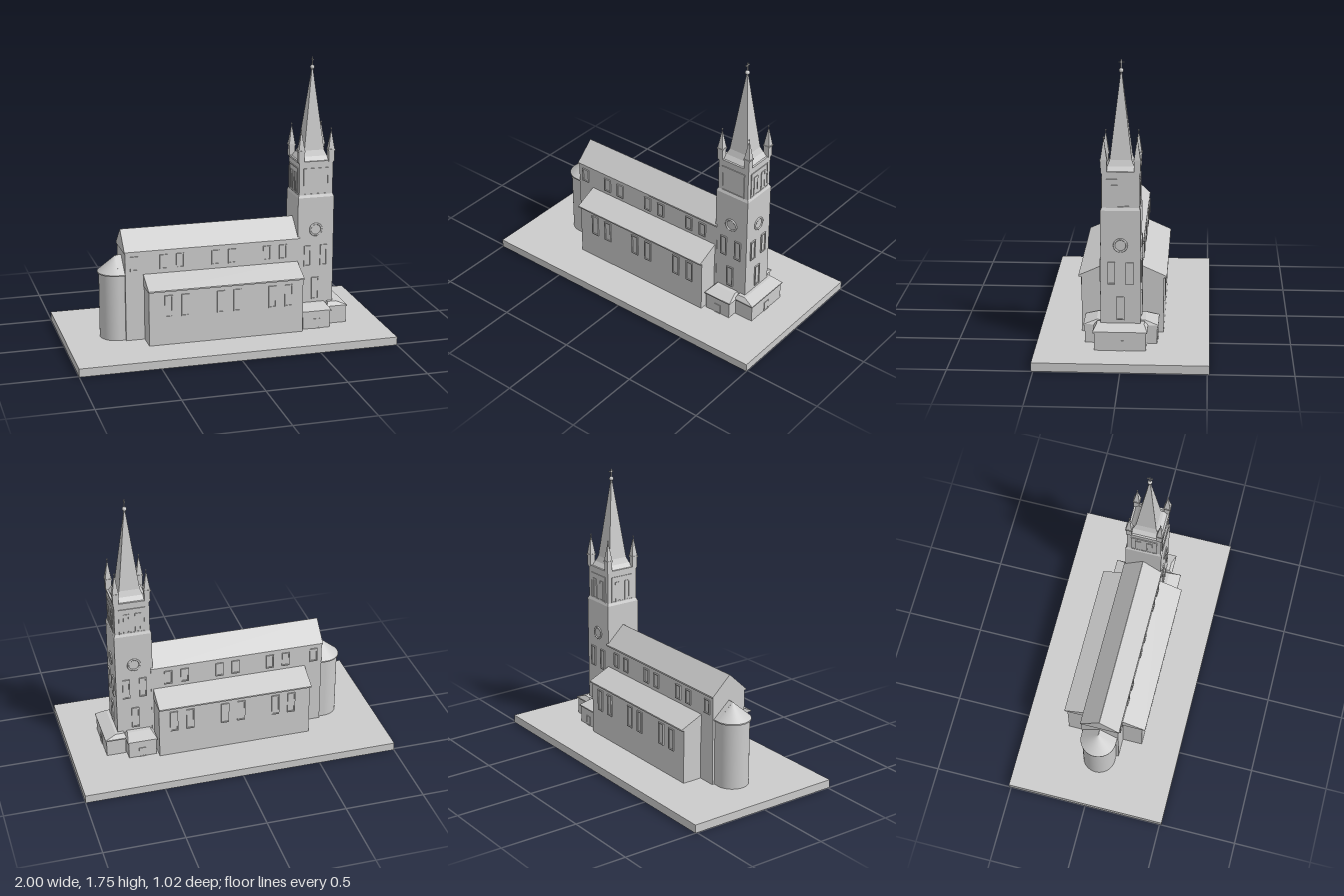
import * as THREE from 'three';

const grey = new THREE.MeshStandardMaterial({ color: 0xcccccc, side: THREE.DoubleSide });

function add(parent, name, geometry, x = 0, y = 0, z = 0) {
  const mesh = new THREE.Mesh(geometry, grey);
  mesh.name = name;
  mesh.position.set(x, y, z);
  parent.add(mesh);
  return mesh;
}

// Box given by its limits
function block(parent, name, x0, x1, y0, y1, z0, z1) {
  return add(parent, name, new THREE.BoxGeometry(x1 - x0, y1 - y0, z1 - z0),
    (x0 + x1) / 2, (y0 + y1) / 2, (z0 + z1) / 2);
}

// Solid between two rectangles [x0, x1, z0, z1] at heights y0 and y1
function frustum(parent, name, y0, low, y1, high) {
  const g = new THREE.BoxGeometry(1, 1, 1);
  const p = g.attributes.position;
  for (let i = 0; i < p.count; i++) {
    const r = p.getY(i) > 0 ? high : low;
    p.setXYZ(i, p.getX(i) > 0 ? r[1] : r[0], p.getY(i) > 0 ? y1 : y0, p.getZ(i) > 0 ? r[3] : r[2]);
  }
  g.computeVertexNormals();
  return add(parent, name, g);
}

const square = (x, z, h) => [x - h, x + h, z - h, z + h];

// Symmetric cross-section, given as its +z half from bottom to top, run along x
function prism(parent, name, half, x0, x1) {
  const mirrored = half.map(([z, y]) => [-z, y]).reverse();
  const shape = new THREE.Shape([...half, ...mirrored].map(([z, y]) => new THREE.Vector2(z, y)));
  const g = new THREE.ExtrudeGeometry(shape, { depth: x1 - x0, bevelEnabled: false });
  g.rotateY(Math.PI / 2);
  return add(parent, name, g, x0, 0, 0);
}

// Raised frame with a sunken pane, centred at x, y, z and turned to face its wall
function framed(parent, name, w, h, x, y, z, turn = 0, rim = 0.007, depth = 0.008) {
  const group = new THREE.Group();
  group.name = name;
  const rect = (C, a, b) => new C([[-a, -b], [a, -b], [a, b], [-a, b]].map(p => new THREE.Vector2(...p)));
  const shape = rect(THREE.Shape, w / 2, h / 2);
  shape.holes.push(rect(THREE.Path, w / 2 - rim, h / 2 - rim));
  add(group, 'frame', new THREE.ExtrudeGeometry(shape, { depth, bevelEnabled: false }));
  add(group, 'pane', new THREE.PlaneGeometry(w - rim, h - rim), 0, 0, 0.002);
  group.position.set(x, y, z);
  group.rotation.y = turn;
  parent.add(group);
}

export function createModel() {
  const model = new THREE.Group();
  model.name = 'church';
  block(model, 'groundSlab', -1, 1, 0, 0.052, -0.512, 0.512);

  const church = new THREE.Group();
  church.name = 'building';
  church.position.z = 0.012;
  model.add(church);

  // Nave and side aisles
  prism(church, 'naveWalls', [[0.119, 0.05], [0.119, 0.62], [0.004, 0.725]], -0.635, 0.48);
  prism(church, 'naveRoof', [[0.125, 0.612], [0.125, 0.622], [0.001, 0.738]], -0.64, 0.48);
  prism(church, 'aisleWalls', [[0.247, 0.05], [0.247, 0.41], [0.11, 0.465]], -0.518, 0.465);
  prism(church, 'aisleRoof', [[0.266, 0.398], [0.266, 0.407], [0.115, 0.475]], -0.523, 0.467);

  // Windows in pairs along both sides
  const pairs = [-0.395, -0.29, -0.065, 0.04, 0.265, 0.37];
  for (const s of [1, -1]) {
    const turn = s > 0 ? 0 : Math.PI;
    for (const x of [-0.58, ...pairs]) framed(church, 'clerestoryWindow', 0.05, 0.092, x, 0.545, s * 0.119, turn);
    for (const x of pairs) framed(church, 'aisleWindow', 0.05, 0.14, x, 0.3, s * 0.247, turn);
  }

  // Rounded apse with half-cone roof
  block(church, 'apseWall', -0.672, -0.63, 0.05, 0.475, -0.104, 0.104);
  add(church, 'apseRound', new THREE.CylinderGeometry(0.104, 0.104, 0.425, 32, 1, false, Math.PI, Math.PI), -0.672, 0.2625, 0);
  prism(church, 'apseRoof', [[0.113, 0.468], [0.113, 0.476], [0.001, 0.574]], -0.672, -0.63);
  add(church, 'apseEave', new THREE.CylinderGeometry(0.113, 0.113, 0.008, 32, 1, false, Math.PI, Math.PI), -0.672, 0.472, 0);
  add(church, 'apseCone', new THREE.ConeGeometry(0.113, 0.098, 32, 1, false, Math.PI, Math.PI), -0.672, 0.525, 0);

  // Tower, centred on its own axis
  const tower = new THREE.Group();
  tower.name = 'tower';
  tower.position.x = 0.585;
  church.add(tower);
  block(tower, 'towerShaft', -0.117, 0.117, 0.05, 0.88, -0.117, 0.117);
  frustum(tower, 'towerSetback', 0.88, square(0, 0, 0.117), 0.897, square(0, 0, 0.109));
  block(tower, 'belfry', -0.109, 0.109, 0.897, 1.1, -0.109, 0.109);
  block(tower, 'belfryCornice', -0.112, 0.112, 1.098, 1.11, -0.112, 0.112);

  // Openings repeated on each tower face
  for (let i = 0; i < 4; i++) {
    const face = new THREE.Group();
    face.name = 'towerFace';
    face.rotation.y = i * Math.PI / 2;
    tower.add(face);
    framed(face, 'lowerWindow', 0.048, 0.143, 0, 0.286, 0.117);
    for (const x of [-0.053, 0.053]) framed(face, 'middleWindow', 0.045, 0.135, x, 0.502, 0.117);
    add(face, 'roundWindowFrame', new THREE.TorusGeometry(0.037, 0.006, 8, 32), 0, 0.672, 0.119);
    add(face, 'roundWindowPane', new THREE.CircleGeometry(0.036, 32), 0, 0.672, 0.1185);
    framed(face, 'belfryPanel', 0.164, 0.17, 0, 0.982, 0.109, 0, 0.007, 0.005);
    if (i > 0) for (const x of [-0.036, 0.036]) framed(face, 'belfryOpening', 0.037, 0.13, x, 0.967, 0.111, 0, 0.006, 0.004);
  }

  // Corner pinnacles
  for (const x of [-0.097, 0.097]) for (const z of [-0.097, 0.097]) {
    frustum(tower, 'pinnacleBase', 1.105, square(x, z, 0.018), 1.175, square(x, z, 0.018));
    frustum(tower, 'pinnacleCap', 1.173, square(x, z, 0.022), 1.182, square(x, z, 0.022));
    frustum(tower, 'pinnacleSpire', 1.182, square(x, z, 0.019), 1.29, square(x, z, 0.003));
    add(tower, 'pinnacleStem', new THREE.CylinderGeometry(0.002, 0.002, 0.03, 8), x, 1.3, z);
    add(tower, 'pinnacleKnob', new THREE.SphereGeometry(0.005, 10, 8), x, 1.31, z);
  }

  // Flared spire with ball and cross
  frustum(tower, 'spireSkirt', 1.11, square(0, 0, 0.1), 1.135, square(0, 0, 0.078));
  frustum(tower, 'spireFlare', 1.135, square(0, 0, 0.078), 1.17, square(0, 0, 0.064));
  frustum(tower, 'spire', 1.17, square(0, 0, 0.064), 1.67, square(0, 0, 0.004));
  add(tower, 'spireCollar', new THREE.CylinderGeometry(0.008, 0.008, 0.006, 12), 0, 1.66, 0);
  add(tower, 'spireBall', new THREE.SphereGeometry(0.014, 16, 12), 0, 1.682, 0);
  block(tower, 'crossPost', -0.003, 0.003, 1.69, 1.745, -0.003, 0.003);
  block(tower, 'crossArm', -0.003, 0.003, 1.726, 1.732, -0.017, 0.017);

  // Low porches on three sides of the tower, with hipped lean-to roofs
  for (const s of [1, -1]) {
    const z = (a, b) => [Math.min(s * a, s * b), Math.max(s * a, s * b)];
    block(church, 'sidePorch', 0.478, 0.655, 0.05, 0.165, ...z(0.1, 0.215));
    frustum(church, 'sidePorchEave', 0.16, [0.471, 0.662, ...z(0.1, 0.222)], 0.168, [0.471, 0.662, ...z(0.1, 0.222)]);
    frustum(church, 'sidePorchRoof', 0.168, [0.471, 0.662, ...z(0.1, 0.222)], 0.194, [0.495, 0.645, ...z(0.1, 0.145)]);
    framed(church, 'sidePorchDoor', 0.046, 0.065, 0.567, 0.083, s * 0.215, s > 0 ? 0 : Math.PI, 0.006, 0.004);
  }
  block(church, 'frontPorch', 0.66, 0.783, 0.05, 0.165, -0.152, 0.152);
  frustum(church, 'frontPorchEave', 0.16, [0.655, 0.79, -0.16, 0.16], 0.168, [0.655, 0.79, -0.16, 0.16]);
  frustum(church, 'frontPorchRoof', 0.168, [0.655, 0.79, -0.16, 0.16], 0.194, [0.665, 0.72, -0.14, 0.14]);
  framed(church, 'frontPorchDoor', 0.046, 0.065, 0.783, 0.083, 0, Math.PI / 2, 0.006, 0.004);

  return model;
}
